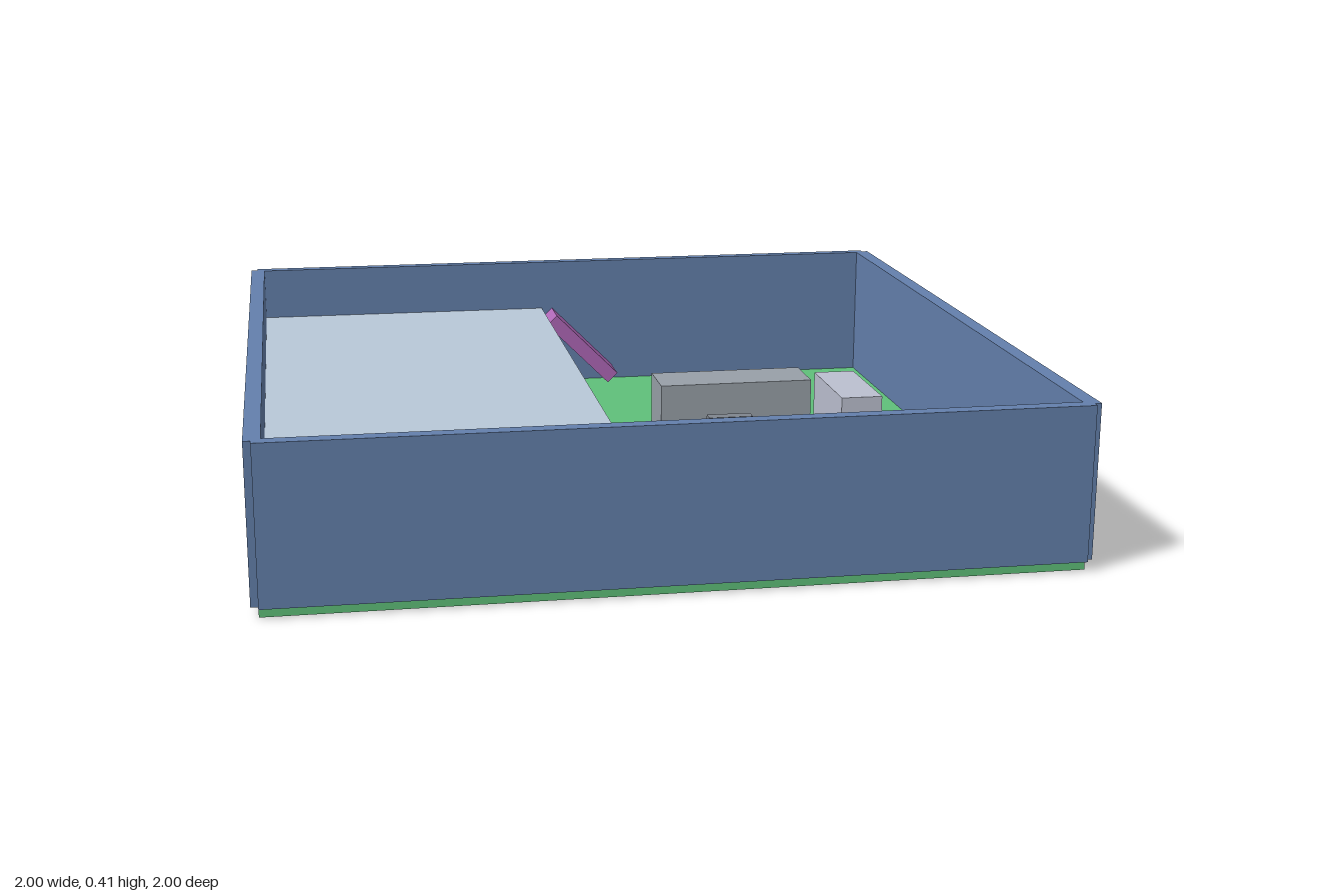
import * as THREE from 'three';

export function createModel() {
  const model = new THREE.Group();
  const mat = (color) => new THREE.MeshStandardMaterial({ color });
  const green = mat(0x5fc07a), blue = mat(0x6480ac), pale = mat(0xb8c8d8);
  const purple = mat(0xb068b8), grey = mat(0x98a0a8), lightGrey = mat(0xbcc0d0), darkGrey = mat(0x80868e);

  // Axis-aligned box from its min and max on each axis
  const block = (name, material, [x0, x1], [y0, y1], [z0, z1]) => {
    const mesh = new THREE.Mesh(new THREE.BoxGeometry(x1 - x0, y1 - y0, z1 - z0), material);
    mesh.position.set((x0 + x1) / 2, (y0 + y1) / 2, (z0 + z1) / 2);
    mesh.name = name;
    model.add(mesh);
    return mesh;
  };

  const floorTop = 0.025, wallTop = 0.415;

  // Ground slab
  block('floor', green, [-0.982, 0.982], [0, floorTop], [-0.982, 0.982]);

  // Four walls, notched where they meet at the corners
  const wallY = [floorTop, wallTop];
  block('frontWall', blue, [-0.982, 0.982], wallY, [0.963, 1]);
  block('backWall', blue, [-0.982, 0.982], wallY, [-1, -0.967]);
  block('leftWall', blue, [0.96, 1], wallY, [-0.982, 0.982]);
  block('rightWall', blue, [-1, -0.96], wallY, [-0.982, 0.982]);

  // Raised deck over the right half, open underneath
  block('upperDeck', pale, [-0.962, -0.085], [0.22, 0.265], [-0.968, 0.964]);

  // Sloping ramps from the deck to the floor at both ends
  for (const [name, z] of [['backRamp', -0.908], ['frontRamp', 0.902]]) {
    const ramp = new THREE.Mesh(new THREE.BoxGeometry(0.275, 0.043, 0.12), purple);
    ramp.position.set(0.03, 0.152, z);
    ramp.rotation.z = -Math.PI / 4;
    ramp.name = name;
    model.add(ramp);
  }

  // Furniture on the open floor
  block('counter', grey, [0.175, 0.625], [floorTop, 0.175], [-0.414, -0.257]);
  block('cabinet', lightGrey, [0.606, 0.721], [floorTop, 0.225], [-0.152, 0.143]);
  block('benchSeat', darkGrey, [0.298, 0.427], [0.055, 0.1], [-0.195, -0.157]);
  block('benchBase', darkGrey, [0.32, 0.405], [floorTop, 0.055], [-0.19, -0.162]);

  return model;
}
